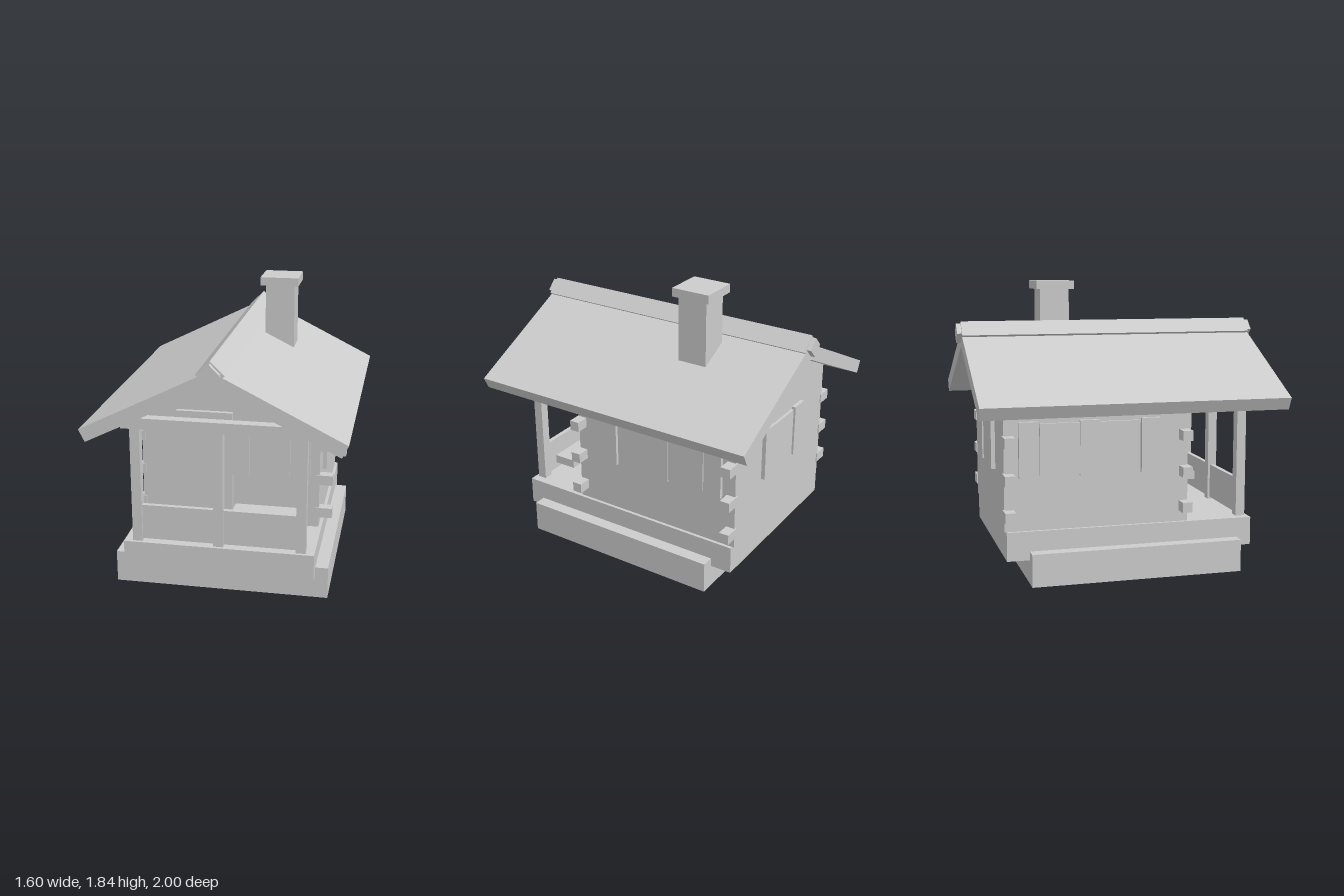
import * as THREE from 'three';

export function createModel() {
  const model = new THREE.Group();
  model.name = 'cabin';
  const grey = new THREE.MeshStandardMaterial({ color: 0xcccccc });
  grey.name = 'plain grey';

  const add = (name, geometry, parent = model) => {
    const mesh = new THREE.Mesh(geometry, grey);
    mesh.name = name;
    parent.add(mesh);
    return mesh;
  };

  // Box given by its limits on each axis
  const box = (name, x0, x1, y0, y1, z0, z1, parent) => {
    const mesh = add(name, new THREE.BoxGeometry(x1 - x0, y1 - y0, z1 - z0), parent);
    mesh.position.set((x0 + x1) / 2, (y0 + y1) / 2, (z0 + z1) / 2);
    return mesh;
  };

  // Cross-section in x and y, extended along z
  const prism = (name, points, z0, z1) => {
    const shape = new THREE.Shape(points.map(([x, y]) => new THREE.Vector2(x, y)));
    const geometry = new THREE.ExtrudeGeometry(shape, { depth: z1 - z0, bevelEnabled: false });
    geometry.translate(0, 0, z0);
    return add(name, geometry);
  };

  // Foundation and deck
  box('foundation', -0.68, 0.68, 0, 0.205, -0.65, 0.7);
  box('deck', -0.6, 0.6, 0.15, 0.33, -0.79, 0.795);

  // House body with both gables
  prism('walls', [[-0.58, 0.33], [0.58, 0.33], [0.58, 1.14], [0, 1.43], [-0.58, 1.14]], -0.8, 0.37);

  // Log ends sticking out at the corners
  for (const [side, x0, x1] of [['left', 0.56, 0.665], ['right', -0.665, -0.56]]) {
    for (const y of [0.4, 0.625, 0.855]) {
      for (const z of [0.312, -0.807]) box(side + 'LogEnd', x0, x1, y, y + 0.065, z, z + 0.065);
    }
  }

  // Window with a shutter on each side, facing +z before it is turned
  const addWindow = (name, x, z, turn) => {
    const group = new THREE.Group();
    group.name = name;
    box('pane', -0.125, 0.125, 0.67, 0.99, -0.01, 0.018, group);
    for (const s of [-1, 1]) {
      box('shutter', s * 0.195 - 0.06, s * 0.195 + 0.06, 0.66, 1.003, -0.01, 0.026, group);
    }
    group.position.set(x, 0, z);
    group.rotation.y = turn;
    model.add(group);
  };
  addWindow('frontWindow', 0.265, 0.37, 0);
  addWindow('backWindow', 0, -0.8, Math.PI);
  for (const z of [-0.075, -0.455]) {
    addWindow('leftWindow', 0.58, z, Math.PI / 2);
    addWindow('rightWindow', -0.58, z, -Math.PI / 2);
  }

  // Door, attic hatch and bench
  box('door', -0.345, 0.02, 0.33, 1.08, 0.36, 0.4);
  box('atticHatch', -0.085, 0.085, 1.16, 1.33, 0.36, 0.395);
  box('bench', 0.06, 0.5, 0.455, 0.51, 0.5, 0.65);

  // Porch posts, railing panels and beam
  for (const x of [-0.515, 0, 0.515]) box('porchPost', x - 0.031, x + 0.031, 0.33, 1.08, 0.715, 0.775);
  for (const s of [-1, 1]) {
    box('railingPanel', s * 0.2575 - 0.235, s * 0.2575 + 0.235, 0.343, 0.57, 0.73, 0.76);
  }
  box('porchBeam', -0.6, 0.6, 1.075, 1.145, 0.71, 0.78);

  // Roof slabs, ridge beam and ridge cap
  prism('roof', [[0, 1.42], [0.762, 1.045], [0.8, 1.122], [0, 1.52], [-0.8, 1.122], [-0.762, 1.045]], -0.97, 0.97);
  prism('ridgeBeam', [[0, 1.443], [0.062, 1.505], [0, 1.567], [-0.062, 1.505]], -1, 1);
  prism('ridgeCap', [[0, 1.555], [0.072, 1.483], [0.087, 1.495], [0, 1.58], [-0.087, 1.495], [-0.072, 1.483]], -0.97, 0.97);

  // Chimney
  box('chimney', 0.13, 0.323, 1.3, 1.79, -0.425, -0.23);
  box('chimneyCap', 0.098, 0.35, 1.78, 1.835, -0.455, -0.2);

  return model;
}
